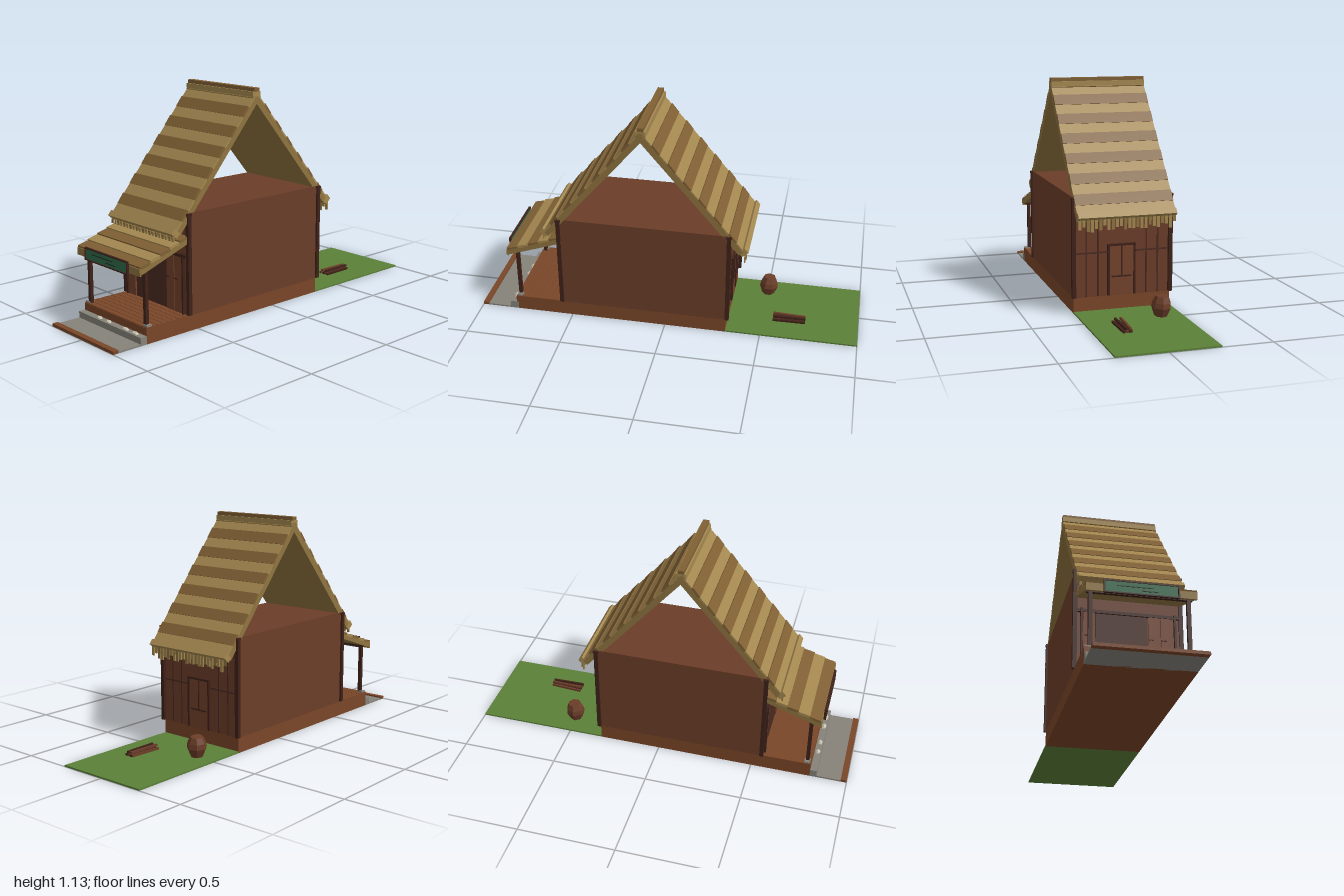
import * as THREE from 'three';

const C = {
  wall: 0x6b3d28, board: 0x74422b, dark: 0x4a2a20, post: 0x3f2119, floor: 0x7a4628,
  thatch: 0xa58850, thatchDark: 0x806034, rafter: 0x8f7440, grass: 0x5b8038, stone: 0x86827a,
  pebble: 0xc9c2b0, sign: 0x2f6a4a, ink: 0x1d2a20,
};
const mats = {};
const mat = (c) => (mats[c] ??= new THREE.MeshStandardMaterial({ color: C[c], flatShading: true }));

function box(parent, name, c, size, pos) {
  const m = new THREE.Mesh(new THREE.BoxGeometry(...size), mat(c));
  m.name = name;
  m.position.set(...pos);
  parent.add(m);
  return m;
}
// Box given by its limits on each axis
function span(parent, name, c, [x0, x1], [y0, y1], [z0, z1]) {
  return box(parent, name, c, [x1 - x0, y1 - y0, z1 - z0], [(x0 + x1) / 2, (y0 + y1) / 2, (z0 + z1) / 2]);
}
function group(parent, name) {
  const g = new THREE.Group();
  g.name = name;
  parent.add(g);
  return g;
}
function seeded(seed) {
  return () => (seed = (seed * 16807) % 2147483647) / 2147483647;
}

const W = [-0.25, 0.25];

function buildGround(root) {
  const g = group(root, 'ground');
  span(g, 'grass', 'grass', W, [0, 0.008], [-1, -0.32]);
  span(g, 'pavement', 'stone', W, [0, 0.008], [0.81, 0.97]);
  span(g, 'curb', 'floor', W, [0, 0.015], [0.97, 1]);
  span(g, 'step', 'stone', W, [0, 0.04], [0.8, 0.845]);
  // Pale pebbles lying on the step
  [-0.1, -0.025, 0.11, 0.185].forEach((x, i) => {
    const p = new THREE.Mesh(new THREE.IcosahedronGeometry(0.015, 0), mat('pebble'));
    p.name = 'pebble';
    p.scale.set(i < 2 ? 1.2 : 1.6, 0.8, 0.9);
    p.position.set(x, 0.04, 0.828);
    g.add(p);
  });
}

function buildHouse(root) {
  const g = group(root, 'house');
  span(g, 'foundation', 'floor', W, [0, 0.077], [-0.32, 0.81]);
  span(g, 'walls', 'wall', W, [0.077, 0.58], [-0.32, 0.556]);
  for (let i = 0; i < 8; i++) {
    const z = 0.558 + i * 0.0315;
    span(g, 'porchPlank', 'floor', W, [0.076, 0.08], [z, z + 0.029]);
  }
  for (const s of [-1, 1]) {
    for (const z of [0.553, -0.327]) {
      box(g, 'cornerPost', 'post', [0.02, 0.5, 0.02], [s * 0.25, 0.33, z]);
      box(g, 'postPeg', 'post', [0.026, 0.012, 0.026], [s * 0.248, 0.573, z]);
    }
    box(g, 'porchPost', 'post', [0.018, 0.285, 0.018], [s * 0.222, 0.222, 0.79]);
    box(g, 'postFoot', 'stone', [0.03, 0.01, 0.03], [s * 0.232, 0.083, 0.79]);
  }
  // Shop front: dark opening, boards and rails
  const f = group(g, 'shopFront');
  span(f, 'opening', 'dark', [-0.155, 0.09], [0.08, 0.36], [0.555, 0.559]);
  for (const [a, b] of [[-0.212, -0.158], [0.093, 0.149], [0.153, 0.212]])
    span(f, 'shutterBoard', 'board', [a, b], [0.08, 0.36], [0.555, 0.564]);
  for (const [a, b] of [[-0.21, -0.185], [0.095, 0.115], [0.155, 0.18]])
    span(f, 'shutterHandle', 'post', [a, b], [0.243, 0.248], [0.56, 0.568]);
  for (const s of [-1, 1]) box(f, 'doorJamb', 'post', [0.01, 0.3, 0.016], [s * 0.22, 0.23, 0.563]);
  span(f, 'lintel', 'post', [-0.24, 0.24], [0.36, 0.375], [0.555, 0.567]);

  // Back wall: battens, rail and a framed door
  const b = group(g, 'backWall');
  for (const x of [-0.185, -0.125, 0.125, 0.185])
    box(b, 'batten', 'dark', [0.007, 0.4, 0.006], [x, 0.28, -0.322]);
  for (const s of [-1, 1])
    box(b, 'rail', 'dark', [0.17, 0.008, 0.006], [s * 0.155, 0.3, -0.322]);
  span(b, 'door', 'board', [-0.06, 0.07], [0.08, 0.33], [-0.326, -0.318]);
  for (const x of [-0.062, 0.072]) box(b, 'doorFrame', 'post', [0.01, 0.26, 0.014], [x, 0.21, -0.326]);
  box(b, 'doorHead', 'post', [0.144, 0.01, 0.014], [0.005, 0.335, -0.326]);
  box(b, 'doorMullion', 'post', [0.006, 0.155, 0.006], [0.005, 0.253, -0.328]);
  box(b, 'doorRail', 'post', [0.1, 0.007, 0.006], [0.005, 0.175, -0.328]);
}

// One slope: local z runs down the roof, local y points outwards
function buildSlope(root, name, back) {
  const g = group(root, name);
  g.position.set(0, 1.108, 0.115);
  g.rotation.order = 'YXZ';
  g.rotation.set(Math.atan2(0.62, 0.53), back ? Math.PI : 0, 0);
  span(g, 'roofSlab', 'rafter', W, [-0.036, -0.005], [0, 0.8]);
  const pitch = 0.0592;
  for (let i = 0; i < 13; i++) {
    const z = 0.026 + i * pitch;
    const dark = i % 2;
    const strip = span(g, 'thatchCourse', dark ? 'thatchDark' : 'thatch',
      W, [-0.008, dark ? 0.005 : 0.001], [z, z + pitch]);
    if (dark) strip.rotation.x = 0.05;
  }
  span(g, 'eaveRoll', 'thatch', W, [-0.028, 0.014], [0.785, 0.816]);
  return g;
}

function buildRoof(root) {
  const g = group(root, 'mainRoof');
  buildSlope(g, 'frontSlope', false);
  buildSlope(g, 'backSlope', true);
  box(g, 'ridgeSaddle', 'thatch', [0.5, 0.025, 0.05], [0, 1.1, 0.115]);
  box(g, 'ridgeCap', 'thatchDark', [0.5, 0.02, 0.032], [0, 1.12, 0.115]);
  // Straw fringes under both eaves
  const rnd = seeded(7);
  for (let i = 0; i < 20; i++)
    box(g, 'frontFringe', i % 2 ? 'thatch' : 'rafter', [0.013, 0.022, 0.006], [-0.238 + i * 0.025, 0.466, 0.636]);
  for (let i = 0; i < 24; i++) {
    const h = 0.035 + rnd() * 0.035;
    box(g, 'backFringe', i % 3 ? 'thatch' : 'rafter', [0.015, h, 0.006], [-0.24 + i * 0.0209, 0.49 - h / 2, -0.408]);
  }
}

function buildPorchRoof(root) {
  const g = group(root, 'porchRoof');
  const s = group(g, 'porchSlope');
  s.position.set(0, 0.468, 0.55);
  s.rotation.x = Math.atan2(0.1, 0.285);
  span(s, 'porchSlab', 'rafter', W, [-0.03, -0.004], [0, 0.306]);
  for (let i = 0; i < 5; i++) {
    const strip = span(s, 'porchCourse', i % 2 ? 'thatch' : 'thatchDark', W, [-0.008, 0.007], [i * 0.061, i * 0.061 + 0.06]);
    strip.rotation.x = -0.1;
  }
  span(g, 'fascia', 'rafter', W, [0.332, 0.368], [0.832, 0.842]);
  span(g, 'porchBeam', 'post', [-0.24, 0.24], [0.345, 0.362], [0.782, 0.798]);

  // Hanging board with a frame and weathered scratches
  const b = group(g, 'signBoard');
  span(b, 'signPanel', 'sign', [-0.165, 0.16], [0.328, 0.382], [0.842, 0.85]);
  for (const y of [0.327, 0.384]) box(b, 'signFrame', 'post', [0.34, 0.006, 0.012], [-0.002, y, 0.848]);
  for (const x of [-0.169, 0.165]) box(b, 'signFrame', 'post', [0.006, 0.063, 0.012], [x, 0.3555, 0.848]);
  box(b, 'scratch', 'ink', [0.165, 0.004, 0.002], [-0.032, 0.361, 0.851]);
  box(b, 'scratch', 'ink', [0.075, 0.004, 0.002], [0.035, 0.344, 0.851]);
}

function buildYard(root) {
  const g = group(root, 'yard');
  // Faceted barrel, leaning a little
  const profile = [[0, -0.05], [0.032, -0.05], [0.05, -0.005], [0.046, 0.02], [0.032, 0.05], [0, 0.05]];
  const barrel = new THREE.Mesh(
    new THREE.LatheGeometry(profile.map(([r, y]) => new THREE.Vector2(r, y)), 7), mat('wall'));
  barrel.name = 'barrel';
  barrel.position.set(-0.142, 0.06, -0.505);
  barrel.rotation.set(-0.08, 0.3, 0.05);
  g.add(barrel);
  // Small stack of firewood
  const rnd = seeded(21);
  for (let i = 0; i < 6; i++) {
    const layer = i < 4 ? 0 : 1;
    const x = layer ? 0.085 + (i - 4) * 0.024 : 0.075 + i * 0.015;
    const log = box(g, 'firewood', i % 2 ? 'post' : 'wall', [0.011, 0.011, 0.17], [x, 0.018 + layer * 0.014, -0.64]);
    log.rotation.y = (rnd() - 0.5) * 0.14;
  }
}

export function createModel() {
  const root = new THREE.Group();
  root.name = 'thatchedHouse';
  buildGround(root);
  buildHouse(root);
  buildRoof(root);
  buildPorchRoof(root);
  buildYard(root);
  return root;
}
